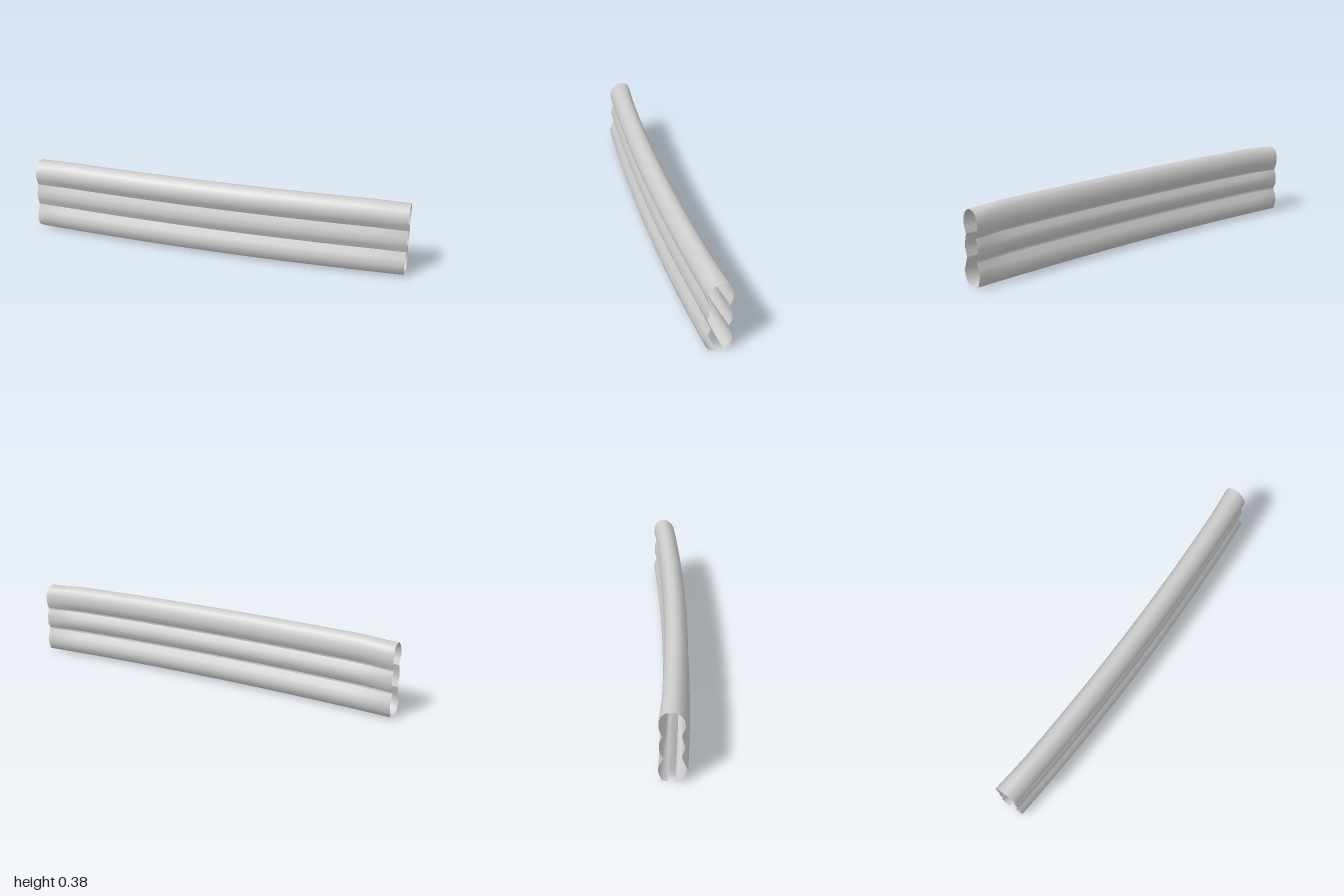
import * as THREE from 'three';

const STEPS = 64;

// Sweep one open strip of the section along the gentle bow.
// Points are [z, y, extra z at the ends], ordered up the front and down the back.
function sweptPanel(name, points, material) {
  const positions = [], index = [], n = points.length;
  for (let i = 0; i <= STEPS; i++) {
    const x = -1 + (2 * i) / STEPS;
    const fade = THREE.MathUtils.smoothstep(Math.abs(x), 0.8, 1);
    const bow = -0.037 * x * x;
    for (const [z, y, endZ = 0] of points) {
      const drop = 0.008 * fade * Math.max(0, (y - 0.2) / 0.18); // top dips at the ends
      positions.push(x, y - drop, z + bow + endZ * fade);
    }
  }
  for (let i = 0; i < STEPS; i++) {
    for (let j = 0; j < n - 1; j++) {
      const a = i * n + j, b = a + n;
      index.push(a, b, b + 1, a, b + 1, a + 1);
    }
  }
  const geometry = new THREE.BufferGeometry();
  geometry.setAttribute('position', new THREE.Float32BufferAttribute(positions, 3));
  geometry.setIndex(index);
  geometry.computeVertexNormals();
  const mesh = new THREE.Mesh(geometry, material);
  mesh.name = name;
  return mesh;
}

export function createModel() {
  const group = new THREE.Group();
  group.name = 'corrugatedRail';
  const material = new THREE.MeshStandardMaterial({ color: 0xcccccc, side: THREE.DoubleSide });

  // Panels meet at the sharp grooves; the underside stays open as a narrow slit
  const panels = {
    frontLowerBulge: [[0.03, 0], [0.05, 0.003], [0.073, 0.02], [0.087, 0.065], [0.071, 0.1], [0.055, 0.133, 0.004]],
    frontMiddleBulge: [[0.055, 0.133, 0.004], [0.067, 0.16], [0.075, 0.187], [0.066, 0.22], [0.054, 0.249, 0.004]],
    upperBulge: [
      [0.054, 0.249, 0.004], [0.067, 0.275], [0.077, 0.3], [0.073, 0.33], [0.058, 0.358], [0.037, 0.375],
      [0.017, 0.38], [-0.004, 0.376, -0.008], [-0.022, 0.362, -0.008], [-0.035, 0.332, -0.006],
      [-0.038, 0.3, -0.004], [-0.03, 0.275, -0.007], [-0.016, 0.253, -0.012],
    ],
    backUpperGroove: [[-0.016, 0.253, -0.012], [-0.015, 0.244, -0.012]],
    backMiddleBulge: [[-0.015, 0.244, -0.012], [-0.031, 0.215, -0.008], [-0.039, 0.187], [-0.031, 0.16, -0.008], [-0.015, 0.136, -0.01]],
    backLowerGroove: [[-0.015, 0.136, -0.01], [-0.016, 0.127, -0.01]],
    backLowerBulge: [[-0.016, 0.127, -0.01], [-0.033, 0.095, -0.006], [-0.046, 0.065], [-0.04, 0.04], [-0.03, 0.011], [-0.004, 0.003]],
  };
  for (const [name, points] of Object.entries(panels)) group.add(sweptPanel(name, points, material));
  return group;
}
